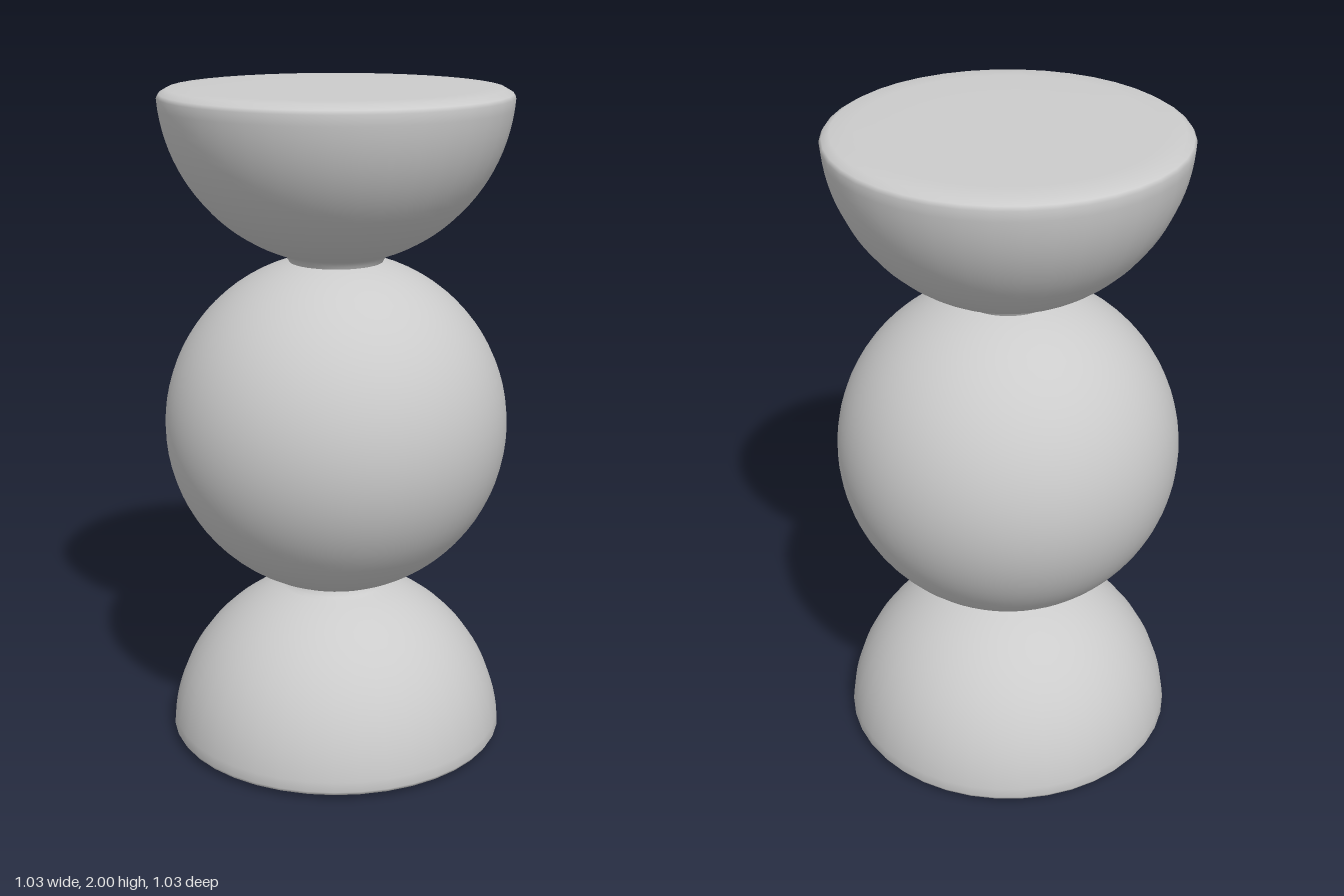
import * as THREE from 'three';

export function createModel() {
  const group = new THREE.Group();
  const material = new THREE.MeshStandardMaterial({ color: 0xcccccc });
  const R = 0.515;

  // Middle ball
  const ball = new THREE.Mesh(new THREE.SphereGeometry(R, 64, 40), material);
  ball.name = 'ball';
  ball.position.y = 1;
  group.add(ball);

  // Half ball profile (y measured from the ball centre): neck, dome, softened rim, flat cap
  const profile = [[0.135, 0.485], [0.142, 0.502], [0.152, 0.514]].map(([x, y]) => new THREE.Vector2(x, y));
  const steps = 20;
  const start = Math.asin(0.165 / R);
  const end = Math.acos(0.035 / R);
  for (let i = 0; i <= steps; i++) {
    const a = start + (end - start) * i / steps;
    profile.push(new THREE.Vector2(R * Math.sin(a), 1.008 - R * Math.cos(a)));
  }
  for (const [x, y] of [[0.507, 0.984], [0.485, 0.997], [0.42, 1], [0.25, 1], [0, 1]]) {
    profile.push(new THREE.Vector2(x, y));
  }
  const halfBall = new THREE.LatheGeometry(profile, 40);

  // The same half ball above and, turned over, below
  for (const [name, turn] of [['topBowl', 0], ['baseDome', Math.PI]]) {
    const mesh = new THREE.Mesh(halfBall, material);
    mesh.name = name;
    mesh.position.y = 1;
    mesh.rotation.x = turn;
    group.add(mesh);
  }
  return group;
}
